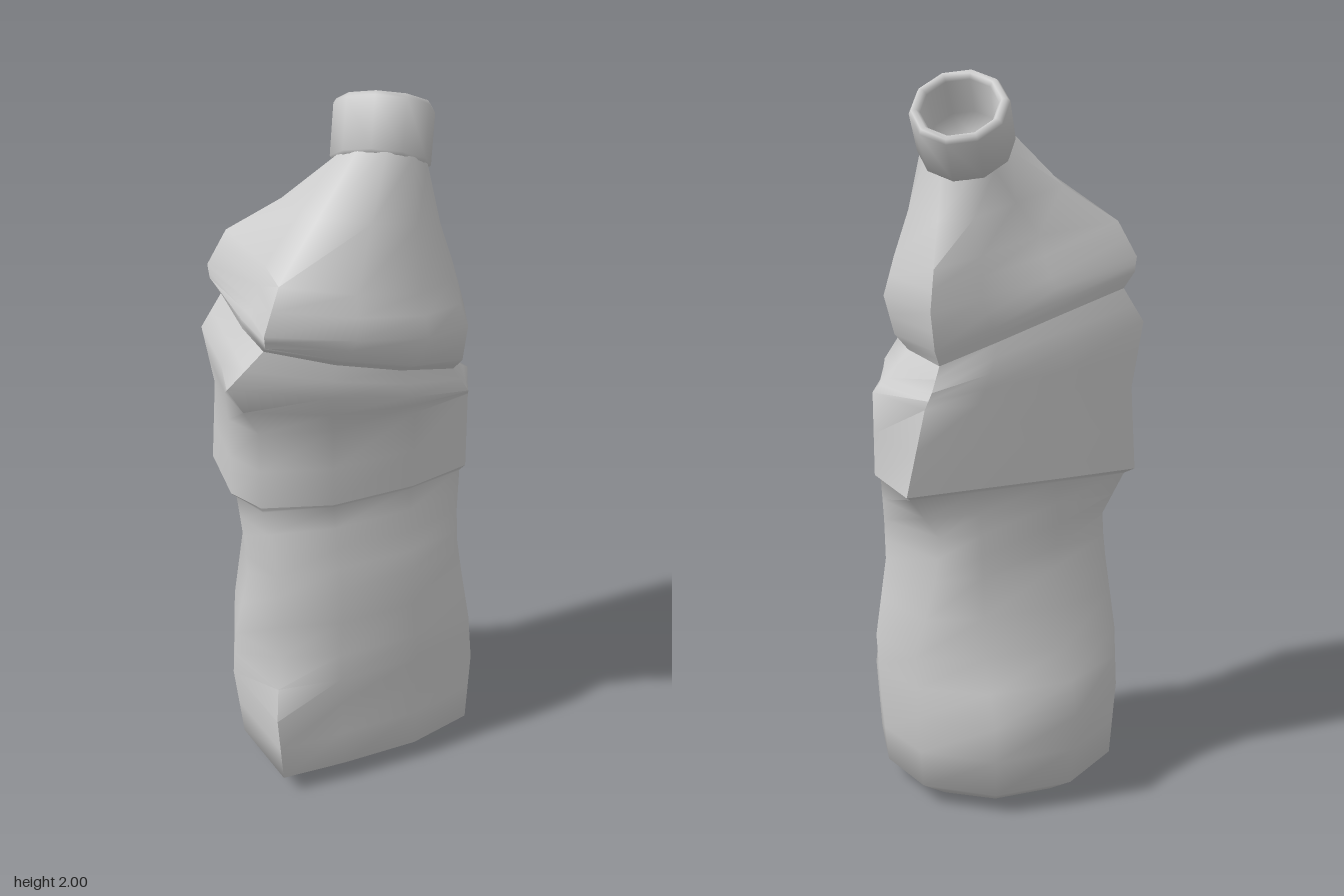
import * as THREE from 'three';
import { mergeVertices, toCreasedNormals } from 'three/addons/utils/BufferGeometryUtils.js';

const SEG = 10;
const SUB = 2;
const CREASE = 1.2;

// Cap position and leaning axis
const capBase = new THREE.Vector3(0.11, 1.81, 0.012);
const capAxis = new THREE.Vector3(0.045, 0.12, -0.078).normalize();
const capTurn = new THREE.Quaternion().setFromUnitVectors(new THREE.Vector3(0, 1, 0), capAxis);

// Rows: y at x = 0, slope along x, left, right, front and back edges,
// then x, z of the corners: front -x, front +x, back -x, back +x
const lowerRows = [
  [0, 0, 0.025, 0.025, 0.005, 0.005, 0.025, 0.005, 0.025, 0.005, 0.025, 0.005, 0.025, 0.005],
  [0, 0, -0.22, 0.27, 0.2, -0.19, -0.2, 0.16, 0.24, 0.15, -0.19, -0.11, 0.23, -0.11],
  [0.06, 0, -0.31, 0.355, 0.265, -0.27, -0.275, 0.255, 0.32, 0.22, -0.255, -0.15, 0.305, -0.15],
  [0.28, 0, -0.33, 0.378, 0.25, -0.295, -0.29, 0.255, 0.335, 0.21, -0.27, -0.155, 0.32, -0.16],
  [0.45, 0, -0.33, 0.378, 0.245, -0.21, -0.255, 0.185, 0.31, 0.23, -0.27, -0.135, 0.32, -0.14],
  [0.67, 0, -0.295, 0.34, 0.235, -0.157, -0.25, 0.195, 0.285, 0.19, -0.24, -0.13, 0.26, -0.14],
  [0.79, 0, -0.3, 0.345, 0.21, -0.15, -0.26, 0.17, 0.29, 0.165, -0.23, -0.12, 0.24, -0.125],
  [0.915, 0, -0.31, 0.355, 0.183, -0.148, -0.27, 0.13, 0.3, 0.15, -0.285, -0.142, 0.325, -0.142],
];
const upperRows = [
  [0.93, 0, -0.325, 0.372, 0.192, -0.162, -0.275, 0.13, 0.315, 0.155, -0.31, -0.157, 0.34, -0.163],
  [1.165, 0, -0.325, 0.372, 0.192, -0.162, -0.275, 0.13, 0.31, 0.16, -0.295, -0.157, 0.285, -0.157],
  [1.27, -0.23, -0.345, 0.33, 0.235, -0.162, -0.378, 0.19, 0.29, 0.2, -0.325, -0.157, 0.265, -0.157],
  [1.352, -0.32, -0.285, 0.265, 0.222, -0.15, -0.275, 0.18, 0.25, 0.185, -0.27, -0.148, 0.24, -0.145],
  [1.395, -0.3, -0.295, 0.295, 0.275, -0.16, -0.29, 0.235, 0.255, 0.225, -0.295, -0.16, 0.255, -0.155],
  [1.47, -0.18, -0.262, 0.32, 0.29, -0.16, -0.298, 0.25, 0.262, 0.235, -0.3, -0.16, 0.265, -0.155],
  [1.575, -0.18, -0.225, 0.295, 0.245, -0.15, -0.235, 0.19, 0.24, 0.18, -0.25, -0.15, 0.25, -0.14],
];

// Pressed-in hollows: centre x, y, z, reach, depth along z
const dents = [
  [-0.03, 1.6, -0.14, 0.13, 0.06],
  [0.02, 0.75, 0.22, 0.14, -0.015],
];

function crumple(p) {
  const out = p.clone();
  for (const [x, y, z, reach, depth] of dents) {
    const d = p.distanceTo(new THREE.Vector3(x, y, z)) / reach;
    out.z += depth * Math.exp(-d * d);
  }
  return out;
}

// Ten-sided section: two side points, four corners, two points across front and back
function bodyRing([y, slope, left, right, front, back, flx, flz, frx, frz, blx, blz, brx, brz]) {
  const midX = (left + right) / 2, third = (right - left) / 6;
  const midZ = (front + back) / 2 + (front - back) * 0.05;
  const outline = [
    [right, midZ], [frx, frz], [midX + third, front], [midX - third, front], [flx, flz],
    [left, midZ], [blx, blz], [midX - third, back], [midX + third, back], [brx, brz],
  ];
  return outline.map(([x, z]) => new THREE.Vector3(x, y + slope * x, z));
}

// Round section square to the cap axis
function neckRing(radius) {
  return Array.from({ length: SEG }, (_, j) => {
    const t = (j / SEG) * Math.PI * 2;
    return new THREE.Vector3(Math.cos(t) * radius, 0, Math.sin(t) * radius)
      .applyQuaternion(capTurn).add(capBase);
  });
}

// Skin a stack of sections from bottom to top
function loft(rings) {
  const rows = [];
  rings.forEach((ring, i) => {
    const next = rings[i + 1];
    for (let k = 0; k < (next ? SUB : 1); k++) {
      rows.push(ring.map((p, j) => crumple(next ? p.clone().lerp(next[j], k / SUB) : p)));
    }
  });
  const index = [];
  for (let i = 0; i < rows.length - 1; i++) {
    for (let j = 0; j < SEG; j++) {
      const k = (j + 1) % SEG;
      const a = i * SEG + j, b = i * SEG + k, c = a + SEG, d = b + SEG;
      index.push(a, c, b, b, c, d);
    }
  }
  const geo = new THREE.BufferGeometry().setFromPoints(rows.flat());
  geo.setIndex(index);
  return toCreasedNormals(geo, CREASE);
}

export function createModel() {
  const group = new THREE.Group();
  const material = new THREE.MeshStandardMaterial({ color: 0xcccccc, side: THREE.DoubleSide });
  const add = (name, geometry) => {
    const mesh = new THREE.Mesh(geometry, material);
    mesh.name = name;
    group.add(mesh);
    return mesh;
  };

  // Lower body with closed base, stepping out to the band
  const lower = lowerRows.map(bodyRing);
  const upper = upperRows.map(bodyRing);
  add('lowerBody', loft([...lower, upper[0]]));

  // Waist band with its bulge, up to the folded crease
  add('waistBand', loft(upper.slice(0, 4)));

  // Shoulder drawn in to the leaning neck
  add('shoulder', loft([...upper.slice(3), neckRing(0.12)]));

  // Hollow cap
  const profile = [
    [0.118, -0.003], [0.128, 0.004], [0.129, 0.138], [0.122, 0.15], [0.109, 0.15],
    [0.1, 0.138], [0.094, 0.03], [0.06, -0.02], [0, -0.03],
  ].map(([r, y]) => new THREE.Vector2(r, y));
  const capGeo = new THREE.LatheGeometry(profile, SEG);
  capGeo.deleteAttribute('normal');
  capGeo.deleteAttribute('uv');
  const cap = add('cap', toCreasedNormals(mergeVertices(capGeo), CREASE));
  cap.quaternion.copy(capTurn);
  cap.position.copy(capBase);

  return group;
}
